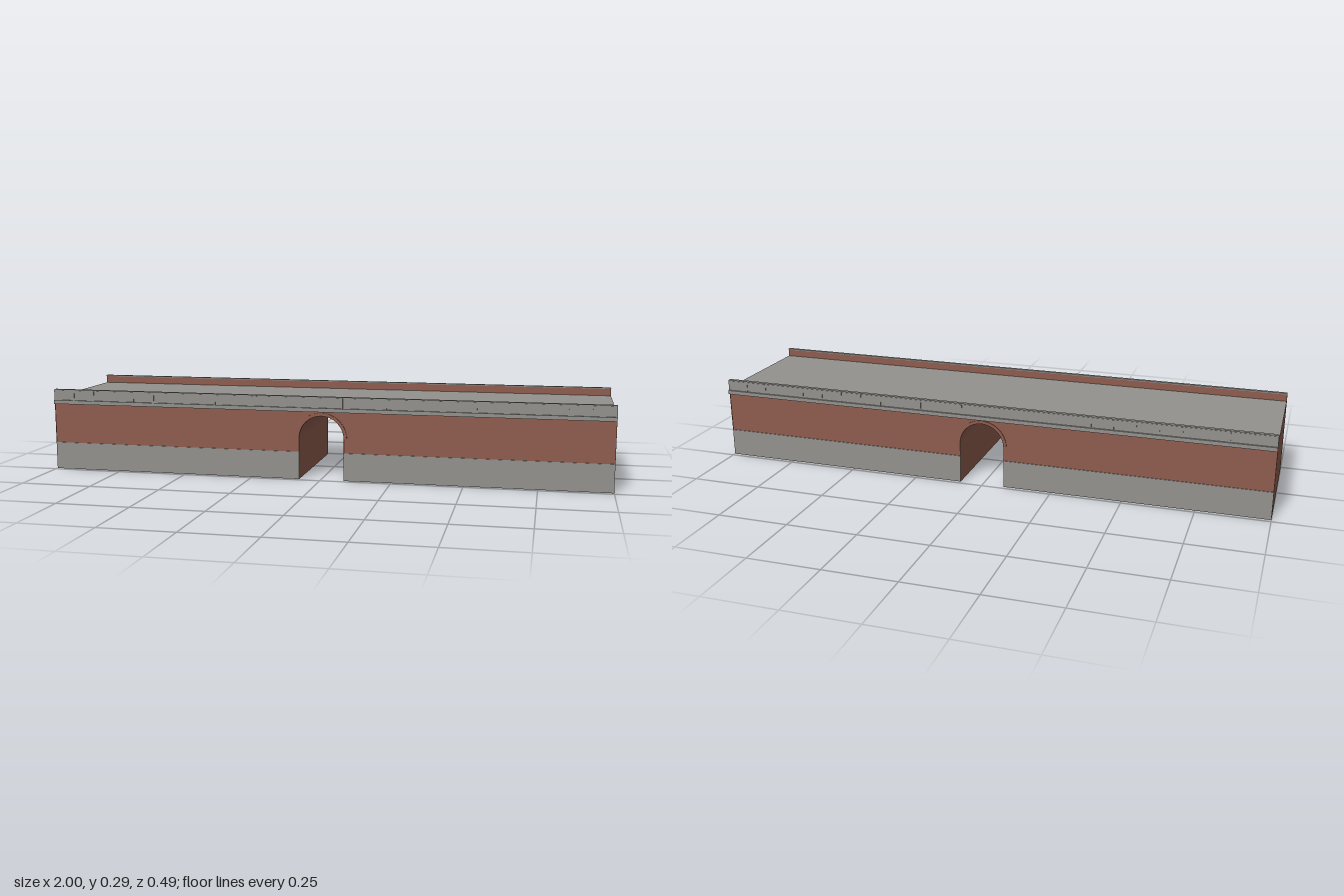
import * as THREE from 'three';

export function createModel() {
  const model = new THREE.Group();
  const brick = new THREE.MeshStandardMaterial({ color: 0x8f5d4e, side: THREE.DoubleSide });
  brick.name = 'brick';
  const stone = new THREE.MeshStandardMaterial({ color: 0x93928f, side: THREE.DoubleSide });
  stone.name = 'stone';

  const wallZ = 0.234, deckY = 0.265, plinthY = 0.098;
  const archX = 0.003, archY = 0.147, archR = 0.08;

  const add = (parent, name, geometry, material) => {
    const mesh = new THREE.Mesh(geometry, material);
    mesh.name = name;
    parent.add(mesh);
    return mesh;
  };
  // Box given by its lower and upper corners
  const box = (parent, name, material, x0, x1, y0, y1, z0, z1) =>
    add(parent, name, new THREE.BoxGeometry(x1 - x0, y1 - y0, z1 - z0), material)
      .position.set((x0 + x1) / 2, (y0 + y1) / 2, (z0 + z1) / 2);

  // Brick wall above the plinth, cut out around the arch
  const wallShape = new THREE.Shape();
  wallShape.moveTo(-1, plinthY);
  wallShape.lineTo(archX - archR, plinthY);
  wallShape.lineTo(archX - archR, archY);
  wallShape.absarc(archX, archY, archR, Math.PI, 0, true);
  wallShape.lineTo(archX + archR, plinthY);
  wallShape.lineTo(1, plinthY);
  wallShape.lineTo(1, deckY);
  wallShape.lineTo(-1, deckY);
  wallShape.closePath();

  // Raised half ring around the arch
  const ringShape = new THREE.Shape();
  ringShape.absarc(archX, archY, 0.091, 0, Math.PI, false);
  ringShape.absarc(archX, archY, archR, Math.PI, 0, true);
  ringShape.closePath();

  // Both long faces, with every layer stacked outward from the wall
  for (const s of [1, -1]) {
    const side = new THREE.Group();
    side.name = s > 0 ? 'frontSide' : 'backSide';
    const slab = (name, material, x0, x1, y0, y1, zIn, zOut) =>
      box(side, name, material, x0, x1, y0, y1, Math.min(s * zIn, s * zOut), Math.max(s * zIn, s * zOut));

    add(side, 'brickWall', new THREE.ShapeGeometry(wallShape, 24), brick).position.z = s * wallZ;
    const ring = add(side, 'archRing',
      new THREE.ExtrudeGeometry(ringShape, { depth: 0.0025, bevelEnabled: false, curveSegments: 24 }), brick);
    ring.position.z = s > 0 ? wallZ : -wallZ - 0.0025;

    slab('leftPlinth', stone, archX + archR, 1, 0, plinthY, 0.233, 0.2365);
    slab('rightPlinth', stone, -1, archX - archR, 0, plinthY, 0.233, 0.2365);
    slab('cornice', stone, -1, 1, 0.242, 0.256, wallZ, 0.2445);
    slab('parapet', brick, -1, 1, 0.256, 0.291, 0.225, wallZ);
    slab('parapetCap', stone, -1, 1, 0.291, 0.295, 0.223, 0.2365);
    slab('parapetPanel', stone, -1, 1, 0.256, 0.292, wallZ, 0.238);

    // Narrow ribs dividing the parapet panels
    for (const k of [1, 3, 5, 6, 7, 8, 9, 11, 12]) {
      for (const x of [-k * 0.077, k * 0.077]) {
        slab('panelRib', stone, x - 0.003, x + 0.003, 0.256, 0.291, 0.238, 0.2395);
      }
    }
    model.add(side);
  }

  // Roadway, open underneath
  const deck = add(model, 'deck', new THREE.PlaneGeometry(2, 2 * wallZ), stone);
  deck.rotation.x = -Math.PI / 2;
  deck.position.y = deckY;

  // End walls
  for (const s of [1, -1]) {
    const end = add(model, s > 0 ? 'leftEndWall' : 'rightEndWall', new THREE.PlaneGeometry(0.473, deckY), brick);
    end.rotation.y = s * Math.PI / 2;
    end.position.set(s, deckY / 2, 0);
  }

  // Passage through the arch: two upright walls and a half-round vault
  for (const s of [1, -1]) {
    const wall = add(model, s > 0 ? 'leftPassageWall' : 'rightPassageWall', new THREE.PlaneGeometry(0.473, archY), brick);
    wall.rotation.y = -s * Math.PI / 2;
    wall.position.set(archX + s * archR, archY / 2, 0);
  }
  const vaultGeometry = new THREE.CylinderGeometry(archR, archR, 0.473, 24, 1, true, Math.PI / 2, Math.PI);
  vaultGeometry.rotateX(Math.PI / 2);
  add(model, 'passageVault', vaultGeometry, brick).position.set(archX, archY, 0);

  return model;
}
